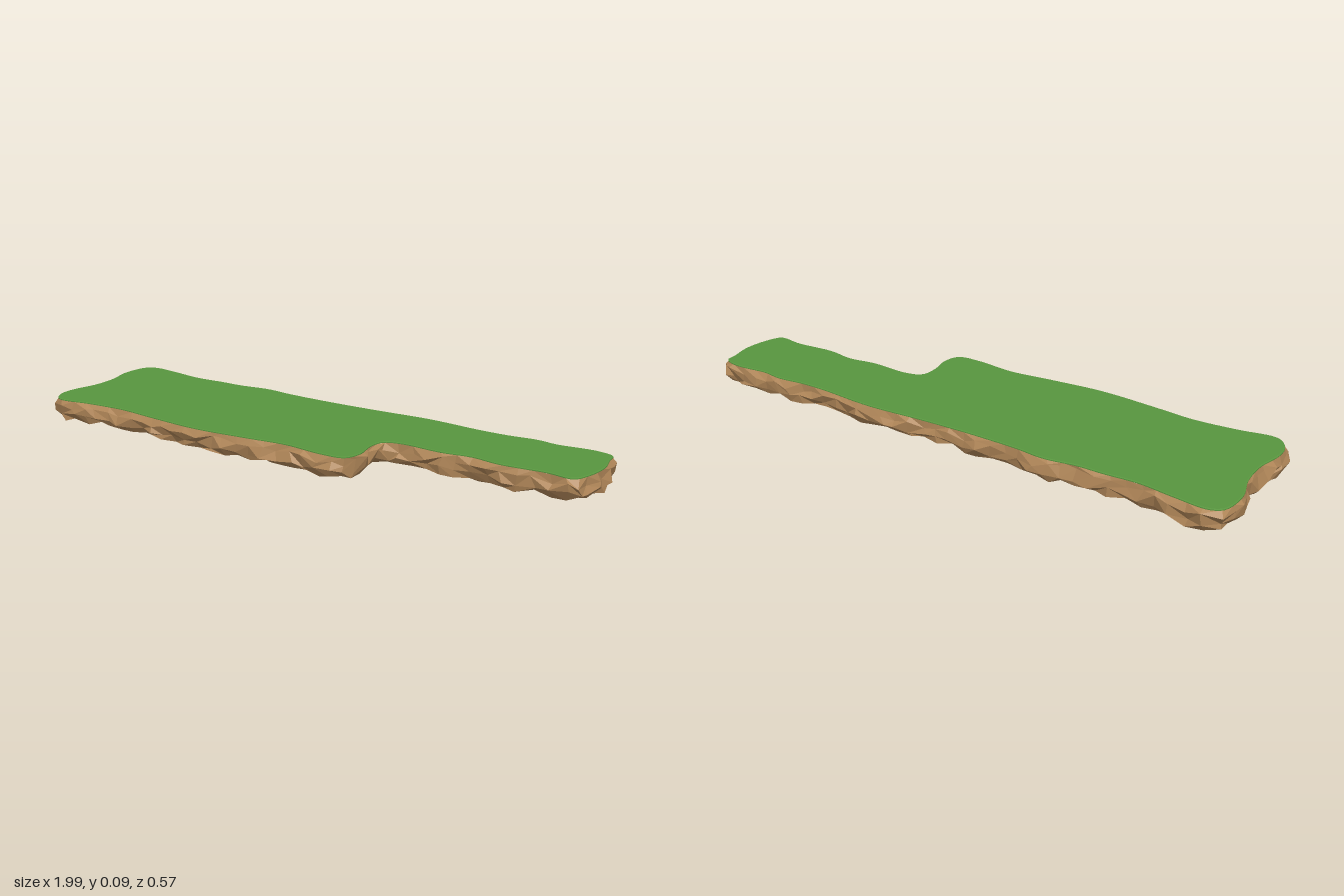
import * as THREE from 'three';

// Small seeded random generator
function seeded(seed) {
  return () => {
    seed = (seed * 1664525 + 1013904223) % 4294967296;
    return seed / 4294967296;
  };
}

// Wavy L-shaped rim of the turf as x, z pairs, starting at the back left corner
const RIM = [
  -0.97, -0.25, -0.985, -0.15, -0.96, -0.05, -0.957, 0.05, -0.978, 0.15, -0.972, 0.21,
  -0.93, 0.26, -0.8, 0.245, -0.65, 0.235, -0.5, 0.25, -0.3, 0.265, -0.1, 0.25,
  0.05, 0.235, 0.2, 0.25, 0.28, 0.24, 0.3, 0.18, 0.287, 0.1, 0.297, 0.04, 0.35, 0.02,
  0.5, 0.025, 0.6, 0.012, 0.7, 0.027, 0.85, 0.017, 0.94, 0.025, 0.965, -0.02,
  0.98, -0.12, 0.965, -0.2, 0.96, -0.24, 0.9, -0.26, 0.77, -0.25, 0.7, -0.26,
  0.6, -0.25, 0.5, -0.25, 0.3, -0.265, 0.1, -0.255, -0.1, -0.25, -0.28, -0.255,
  -0.38, -0.265, -0.5, -0.25, -0.58, -0.25, -0.7, -0.245, -0.82, -0.262, -0.93, -0.272,
];

function rimPoints(count) {
  const pts = [];
  for (let i = 0; i < RIM.length; i += 2) pts.push(new THREE.Vector3(RIM[i], 0, RIM[i + 1]));
  return new THREE.CatmullRomCurve3(pts, true).getSpacedPoints(count).slice(0, count);
}

// Thin turf slab with a small bevelled lip
function turfGeometry() {
  const shape = new THREE.Shape(rimPoints(260).map((p) => new THREE.Vector2(p.x, -p.z)));
  const g = new THREE.ExtrudeGeometry(shape, {
    depth: 0.003, bevelThickness: 0.0015, bevelSize: 0.004, bevelOffset: -0.004, bevelSegments: 1,
  });
  g.rotateX(-Math.PI / 2);
  g.translate(0, 0.084, 0);
  return g;
}

// Rugged earth: rings of jittered points for the walls, a jittered lattice below
function earthGeometry() {
  const rand = seeded(17);
  const jitter = (a) => (rand() * 2 - 1) * a;
  const NX = 37, NZ = 11, CX = 24, CZ = 6;
  const gridX = (i) => -0.97 + (i / NX) * 1.94;
  const gridZ = (k) => -0.255 + (k / NZ) * 0.505;
  const position = [], index = [];
  const add = (x, y, z) => position.push(x, y, z) / 3 - 1;

  // Walk round the lattice border
  const corners = [[0, 0], [0, NZ], [CX, NZ], [CX, CZ], [NX, CZ], [NX, 0]];
  const border = [];
  corners.forEach(([i, k], c) => {
    const [i2, k2] = corners[(c + 1) % corners.length];
    const steps = Math.abs(i2 - i) + Math.abs(k2 - k);
    for (let s = 0; s < steps; s++) {
      border.push([i + Math.sign(i2 - i) * s, k + Math.sign(k2 - k) * s]);
    }
  });

  // Snap the border to the rim and find the outward direction
  const rim = rimPoints(900);
  const loop = border.map(([i, k]) => {
    const p = new THREE.Vector3(gridX(i), 0, gridZ(k));
    return rim.reduce((a, b) => (b.distanceToSquared(p) < a.distanceToSquared(p) ? b : a));
  });
  const n = loop.length;
  const outward = loop.map((p, i) => {
    const t = loop[(i + 1) % n].clone().sub(loop[(i + n - 1) % n]).normalize();
    return new THREE.Vector3(-t.z, 0, t.x);
  });

  // Wall rings: height, outward offset, sideways jitter, height jitter
  const rings = [
    [0.084, -0.002, 0.002, 0],
    [0.064, 0.007, 0.011, 0.011],
    [0.036, 0.008, 0.013, 0.01],
    [0.015, -0.006, 0.011, 0.009],
  ].map(([y, off, side, up]) => loop.map((p, i) => {
    const o = outward[i], d = off + jitter(side), t = jitter(side);
    return add(p.x + o.x * d + o.z * t, y + jitter(up), p.z + o.z * d - o.x * t);
  }));
  for (let r = 0; r < rings.length - 1; r++) {
    for (let i = 0; i < n; i++) {
      const j = (i + 1) % n;
      const a = rings[r][i], b = rings[r][j], c = rings[r + 1][i], d = rings[r + 1][j];
      if (rand() < 0.5) index.push(c, d, b, c, b, a);
      else index.push(c, d, a, d, b, a);
    }
  }

  // Underside lattice, sharing its border with the lowest ring
  const lattice = new Map();
  border.forEach(([i, k], b) => lattice.set(i + ',' + k, rings[3][b]));
  const at = (i, k) => {
    const key = i + ',' + k;
    if (!lattice.has(key)) {
      lattice.set(key, add(gridX(i) + jitter(0.016), rand() * 0.026, gridZ(k) + jitter(0.014)));
    }
    return lattice.get(key);
  };
  for (let i = 0; i < NX; i++) {
    for (let k = 0; k < (i < CX ? NZ : CZ); k++) {
      const a = at(i, k), b = at(i + 1, k), c = at(i + 1, k + 1), d = at(i, k + 1);
      if (rand() < 0.5) index.push(a, b, c, a, c, d);
      else index.push(a, b, d, b, c, d);
    }
  }

  // Separate the faces so each one is shaded flat
  const g = new THREE.BufferGeometry();
  g.setAttribute('position', new THREE.Float32BufferAttribute(position, 3));
  g.setIndex(index);
  const flat = g.toNonIndexed();
  flat.computeVertexNormals();
  return flat;
}

export function createModel() {
  const grass = new THREE.MeshStandardMaterial({ color: 0x58963f });
  grass.name = 'grass green';
  const earth = new THREE.MeshStandardMaterial({ color: 0xb08658 });
  earth.name = 'earth brown';

  const group = new THREE.Group();
  group.name = 'grassPlatform';
  const turf = new THREE.Mesh(turfGeometry(), grass);
  turf.name = 'turf';
  const soil = new THREE.Mesh(earthGeometry(), earth);
  soil.name = 'earth';
  group.add(turf, soil);
  return group;
}
